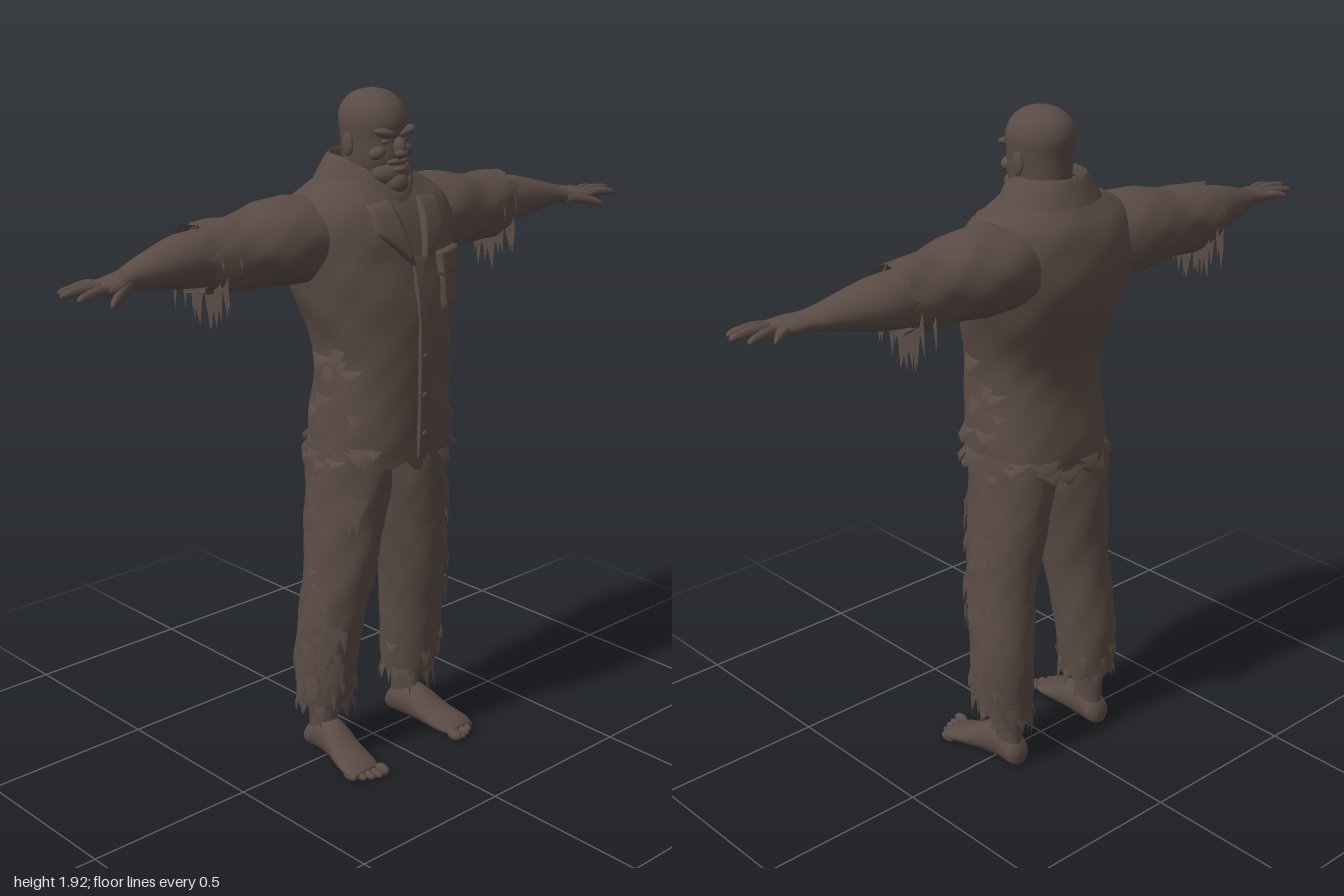
import * as THREE from 'three';

const cloth = new THREE.MeshStandardMaterial({ color: 0x5a4b45, side: THREE.DoubleSide });
cloth.name = 'weathered brown';

let seed = 7;
const rand = () => (seed = (seed * 16807) % 2147483647) / 2147483647;

// Cross-section row: [position on axis, centre u, centre v, radius u, radius v, squareness]
// Axis y has u=z, v=x. Axis x has u=y, v=z. Axis z has u=x, v=y.
const place = { x: (t, u, v) => [t, u, v], y: (t, u, v) => [v, t, u], z: (t, u, v) => [u, v, t] };

function sample(rows, s) {
  const f = Math.min(Math.max(s, 0), 1) * (rows.length - 1);
  const i = Math.min(Math.floor(f), rows.length - 2), k = f - i;
  const row = n => rows[Math.min(Math.max(n, 0), rows.length - 1)];
  const out = [];
  for (let c = 0; c < 6; c++) {
    const [a, b, d, e] = [i - 1, i, i + 1, i + 2].map(n => row(n)[c] ?? 2);
    out.push(b + 0.5 * k * (d - a + k * (2 * a - 5 * b + 4 * d - e + k * (3 * (b - d) + e - a))));
  }
  return out;
}

function surface(part, s, angle, grow = 1) {
  const [t, cu, cv, ru, rv, n] = sample(part.rows, s);
  const fold = 0.55 * Math.sin(5 * angle + 30 * t) + 0.45 * Math.sin(9 * angle - 47 * t + 2);
  const k = grow * (1 + (part.wrinkle ?? 0) * fold);
  const pw = c => Math.sign(c) * Math.abs(c) ** (2 / n);
  return place[part.axis](t, cu + ru * k * pw(Math.cos(angle)), cv + rv * k * pw(Math.sin(angle)));
}

function makeMesh(name, pos, index) {
  const g = new THREE.BufferGeometry();
  g.setAttribute('position', new THREE.Float32BufferAttribute(pos, 3));
  g.setIndex(index);
  g.computeVertexNormals();
  const m = new THREE.Mesh(g, cloth);
  m.name = name;
  return m;
}

// Smooth skin through the cross-sections; jag tears the given end (0 or 1)
function loft(name, part) {
  const { rows, axis, sides = 32, steps = 5, jag = 0, jagEnd = 0, caps = true, bend } = part;
  const n = (rows.length - 1) * steps, pos = [], index = [];
  const tears = Array.from({ length: sides }, () => (rand() - 0.5) * 2 * jag);
  const ai = 'xyz'.indexOf(axis);
  for (let i = 0; i <= n; i++) for (let j = 0; j < sides; j++) {
    const p = surface(part, i / n, j / sides * Math.PI * 2);
    if (jag && i === (jagEnd ? n : 0)) p[ai] += tears[j];
    if (bend) bend(p, j / sides * Math.PI * 2);
    pos.push(...p);
    if (i < n) {
      const a = i * sides + j, b = i * sides + (j + 1) % sides;
      index.push(a, b, a + sides, b, b + sides, a + sides);
    }
  }
  if (caps) for (const end of [0, 1]) {
    const [t, u, v] = sample(rows, end), c = pos.length / 3, base = end * n * sides;
    pos.push(...place[axis](t, u, v));
    for (let j = 0; j < sides; j++) {
      const a = base + j, b = base + (j + 1) % sides;
      index.push(...(end ? [a, b, c] : [b, a, c]));
    }
  }
  return makeMesh(name, pos, index);
}

// Torn strips hanging from a surface
function tatters(name, part, count, [s0, s1], [a0, a1], length) {
  const pos = [], index = [];
  for (let i = 0; i < count; i++) {
    const s = s0 + (s1 - s0) * rand(), a = a0 + (a1 - a0) * (i + rand()) / count, w = 0.12 + 0.14 * rand();
    const l = surface(part, s, a - w, 1.0), r = surface(part, s, a + w, 1.0);
    const mid = surface(part, s, a, 1.1), tip = surface(part, s, a + w * (rand() - 0.5), 1.08);
    const drop = length * (0.5 + rand() * 0.6);
    mid[1] -= drop * 0.45; tip[1] -= drop;
    const k = pos.length / 3;
    pos.push(...l, ...r, ...mid, ...tip);
    index.push(k, k + 2, k + 1, k, k + 3, k + 2, k + 2, k + 3, k + 1);
  }
  return makeMesh(name, pos, index);
}

// Four-cornered cloth panel laid on the front of the torso
function panel(name, part, corners, lift = 0.012) {
  const N = 8, pos = [], index = [], mix = (a, b, k) => a + (b - a) * k;
  const edge = i => (i === 0 ? 0 : i === N ? 1 : i === 1 ? 0.03 : i === N - 1 ? 0.97 : (i - 1) / (N - 2));
  for (let i = 0; i <= N; i++) for (let j = 0; j <= N; j++) {
    const u = edge(i), v = edge(j), [A, B, C, D] = corners;
    const x = mix(mix(A[0], B[0], u), mix(D[0], C[0], u), v);
    const y = mix(mix(A[1], B[1], u), mix(D[1], C[1], u), v);
    let lo = 0, hi = 1;
    for (let q = 0; q < 24; q++) { const m = (lo + hi) / 2; if (sample(part.rows, m)[0] < y) lo = m; else hi = m; }
    const [, cz, , rz, rx, n] = sample(part.rows, lo);
    const border = i === 0 || j === 0 || i === N || j === N;
    pos.push(x, y, cz + rz * Math.max(0, 1 - Math.abs(x / rx) ** n) ** (1 / n) + (border ? -0.004 : lift));
    if (i < N && j < N) { const a = i * (N + 1) + j; index.push(a, a + N + 1, a + 1, a + 1, a + N + 1, a + N + 2); }
  }
  return makeMesh(name, pos, index);
}

function blob(name, x, y, z, rx, ry, rz, tilt = 0) {
  const m = new THREE.Mesh(new THREE.SphereGeometry(1, 16, 12), cloth);
  m.name = name;
  m.position.set(x, y, z);
  m.scale.set(rx, ry, rz);
  m.rotation.z = tilt;
  return m;
}

const torso = { axis: 'y', sides: 64, wrinkle: 0.016, jag: 0.03, caps: false, rows: [
  [0.92, 0.02, 0, 0.172, 0.195, 2.5], [1.0, 0.025, 0, 0.172, 0.198, 2.5], [1.15, 0.035, 0, 0.163, 0.19, 2.4],
  [1.25, 0.03, 0, 0.17, 0.197, 2.3], [1.38, 0, 0, 0.19, 0.235, 2.3], [1.48, -0.02, 0, 0.19, 0.255, 2.3],
  [1.56, -0.025, 0, 0.178, 0.26, 2.3], [1.62, -0.03, 0, 0.155, 0.245, 2.2], [1.66, -0.03, 0, 0.128, 0.195, 2],
  [1.69, -0.025, 0, 0.108, 0.13, 2], [1.72, -0.02, 0, 0.085, 0.09, 2]] };
const sleeve = { axis: 'x', sides: 40, wrinkle: 0.03, jag: 0.02, jagEnd: 1, caps: false, rows: [
  [0.12, 1.53, -0.05, 0.1, 0.12], [0.22, 1.535, -0.055, 0.115, 0.133], [0.32, 1.535, -0.055, 0.113, 0.128],
  [0.42, 1.528, -0.06, 0.097, 0.113], [0.5, 1.525, -0.065, 0.098, 0.104], [0.56, 1.53, -0.07, 0.09, 0.093]] };
const forearm = { axis: 'x', rows: [
  [0.48, 1.525, -0.07, 0.078, 0.08], [0.6, 1.53, -0.067, 0.07, 0.076], [0.68, 1.528, -0.057, 0.054, 0.062],
  [0.76, 1.525, -0.045, 0.034, 0.046], [0.8, 1.522, -0.033, 0.026, 0.04], [0.84, 1.519, -0.02, 0.023, 0.047],
  [0.88, 1.517, -0.015, 0.018, 0.049], [0.9, 1.516, -0.015, 0.009, 0.04]] };
const trouser = { axis: 'y', sides: 40, wrinkle: 0.03, jag: 0.035, caps: false, rows: [
  [0.16, -0.025, 0.167, 0.078, 0.08], [0.3, -0.018, 0.167, 0.092, 0.09], [0.42, -0.008, 0.16, 0.1, 0.09],
  [0.55, 0.01, 0.145, 0.11, 0.092], [0.7, 0.01, 0.125, 0.123, 0.1], [0.83, 0.01, 0.107, 0.138, 0.105],
  [0.95, 0.015, 0.1, 0.145, 0.103], [1.04, 0.02, 0.09, 0.14, 0.095]] };
const shin = { axis: 'y', rows: [
  [0.04, -0.04, 0.165, 0.046, 0.037], [0.11, -0.035, 0.165, 0.046, 0.038], [0.24, -0.03, 0.165, 0.06, 0.05]] };
const foot = { axis: 'z', rows: [
  [-0.095, 0.165, 0.028, 0.018, 0.018], [-0.08, 0.165, 0.038, 0.038, 0.037], [-0.03, 0.165, 0.058, 0.044, 0.057],
  [0.03, 0.171, 0.053, 0.048, 0.052], [0.09, 0.181, 0.034, 0.055, 0.033], [0.15, 0.19, 0.022, 0.058, 0.021],
  [0.18, 0.192, 0.016, 0.045, 0.012]] };
const head = { axis: 'y', sides: 36, rows: [
  [1.6, -0.03, 0, 0.09, 0.105], [1.66, -0.015, 0, 0.082, 0.092], [1.7, -0.003, 0, 0.088, 0.078],
  [1.74, 0.005, 0, 0.094, 0.081], [1.79, 0.002, 0, 0.094, 0.085], [1.84, 0, 0, 0.1, 0.088],
  [1.88, -0.002, 0, 0.084, 0.074], [1.905, -0.002, 0, 0.052, 0.047], [1.916, -0.002, 0, 0.012, 0.011]] };
const collar = { axis: 'y', sides: 40, caps: false, wrinkle: 0.01, rows: [
  [1.685, -0.02, 0, 0.1, 0.1], [1.735, -0.025, 0, 0.1, 0.1], [1.74, -0.025, 0, 0.108, 0.108], [1.675, -0.03, 0, 0.13, 0.15]],
  bend: (p, a) => { const f = Math.max(0, Math.cos(a)) ** 2; p[1] -= 0.09 * f; p[2] += 0.03 * f; } };

function makeArm() {
  const arm = new THREE.Group();
  arm.add(loft('sleeve', sleeve), loft('forearm', forearm));
  arm.add(tatters('sleeveTatters', sleeve, 16, [0.8, 0.98], [Math.PI * 0.6, Math.PI * 1.45], 0.09));
  arm.add(tatters('cuffFolds', sleeve, 14, [0.72, 0.95], [-1.2, 1.6], 0.04));
  // Fingers and thumb: [root x, y, z, tip x, y, z, radius]
  const digits = [[0.86, 1.518, -0.052, 0.925, 1.512, -0.083, 0.011], [0.87, 1.519, -0.03, 0.978, 1.515, -0.052, 0.012],
    [0.87, 1.519, -0.008, 1.0, 1.518, -0.008, 0.013], [0.87, 1.518, 0.014, 0.98, 1.512, 0.035, 0.013],
    [0.8, 1.515, -0.005, 0.9, 1.488, 0.056, 0.015]];
  digits.forEach(([x, y, z, X, Y, Z, r], i) => {
    const row = (k, q) => [x + (X - x) * k, y + (Y - y) * k + 0.006 * Math.sin(k * 3.14), z + (Z - z) * k, r * q, r * q];
    arm.add(loft(i < 4 ? 'finger' : 'thumb', { axis: 'x', sides: 10, steps: 3,
      rows: [row(0, 1), row(0.4, 1.05), row(0.8, 0.85), row(0.95, 0.6), row(1, 0.15)] }));
  });
  return arm;
}

function makeLeg() {
  const leg = new THREE.Group();
  leg.add(loft('trouserLeg', trouser), loft('shin', shin), loft('foot', foot));
  leg.add(tatters('outerTatters', trouser, 34, [0.1, 0.75], [0.3, 2.2], 0.1));
  leg.add(tatters('trouserHemTatters', trouser, 18, [0.01, 0.12], [0, Math.PI * 2], 0.07));
  for (let i = 0; i < 5; i++) {
    const big = i === 0 ? 1.4 : 1;
    leg.add(blob('toe', 0.148 + i * 0.022, 0.013 * big, 0.196 - i * i * 0.0025, 0.011 * big, 0.012 * big, 0.026));
  }
  return leg;
}

export function createModel() {
  const model = new THREE.Group();
  model.name = 'raggedMan';

  // Jacket
  const jacket = new THREE.Group();
  jacket.name = 'jacket';
  jacket.add(loft('jacketBody', torso), loft('collar', collar));
  jacket.add(tatters('jacketHemTatters', torso, 22, [0.01, 0.08], [0.5, Math.PI * 2 - 0.5], 0.06));
  jacket.add(tatters('leftSideTears', torso, 8, [0.1, 0.3], [1.1, 2], 0.07));
  jacket.add(tatters('rightSideTears', torso, 8, [0.1, 0.3], [-2, -1.1], 0.07));
  jacket.add(panel('buttonPlacket', torso, [[-0.018, 0.92], [0.018, 0.92], [0.018, 1.5], [-0.018, 1.5]], 0.008));
  jacket.add(panel('chestPocket', torso, [[0.08, 1.33], [0.185, 1.33], [0.185, 1.44], [0.08, 1.44]]));
  jacket.add(panel('pocketFlap', torso, [[0.075, 1.425], [0.19, 1.425], [0.19, 1.49], [0.075, 1.49]], 0.018));
  for (const s of [-1, 1])
    jacket.add(panel('lapel', torso, [[s * 0.012, 1.46], [s * 0.12, 1.56], [s * 0.125, 1.63], [s * 0.05, 1.64]], 0.015));
  for (let y = 1.0; y < 1.46; y += 0.11) jacket.add(blob('button', 0, y, y < 1.3 ? 0.207 : 0.19 - (y - 1.33) * 0.12, 0.009, 0.009, 0.004));
  model.add(jacket);

  // Bald head with heavy brow and bearded jaw
  const face = new THREE.Group();
  face.name = 'head';
  face.add(loft('skullAndNeck', head));
  face.add(blob('nose', 0, 1.768, 0.102, 0.017, 0.03, 0.022), blob('noseTip', 0, 1.755, 0.112, 0.02, 0.013, 0.015));
  face.add(blob('jaw', 0, 1.7, 0.062, 0.062, 0.04, 0.05), blob('beard', 0, 1.676, 0.088, 0.036, 0.034, 0.034));
  face.add(blob('moustache', 0, 1.732, 0.096, 0.038, 0.01, 0.014), blob('lowerLip', 0, 1.712, 0.103, 0.024, 0.008, 0.014));
  for (const s of [-1, 1]) {
    face.add(blob('brow', s * 0.035, 1.808, 0.085, 0.036, 0.013, 0.022, s * 0.25));
    face.add(blob('eye', s * 0.033, 1.786, 0.08, 0.014, 0.009, 0.012));
    face.add(blob('cheek', s * 0.048, 1.758, 0.07, 0.026, 0.018, 0.022, -s * 0.4));
    face.add(blob('ear', s * 0.087, 1.775, -0.005, 0.009, 0.032, 0.02));
  }
  model.add(face);

  // Limbs on both sides
  for (const [side, s] of [['left', 1], ['right', -1]]) {
    const arm = makeArm(), leg = makeLeg();
    arm.name = side + 'Arm';
    leg.name = side + 'Leg';
    arm.scale.x = leg.scale.x = s;
    model.add(arm, leg);
  }
  return model;
}
